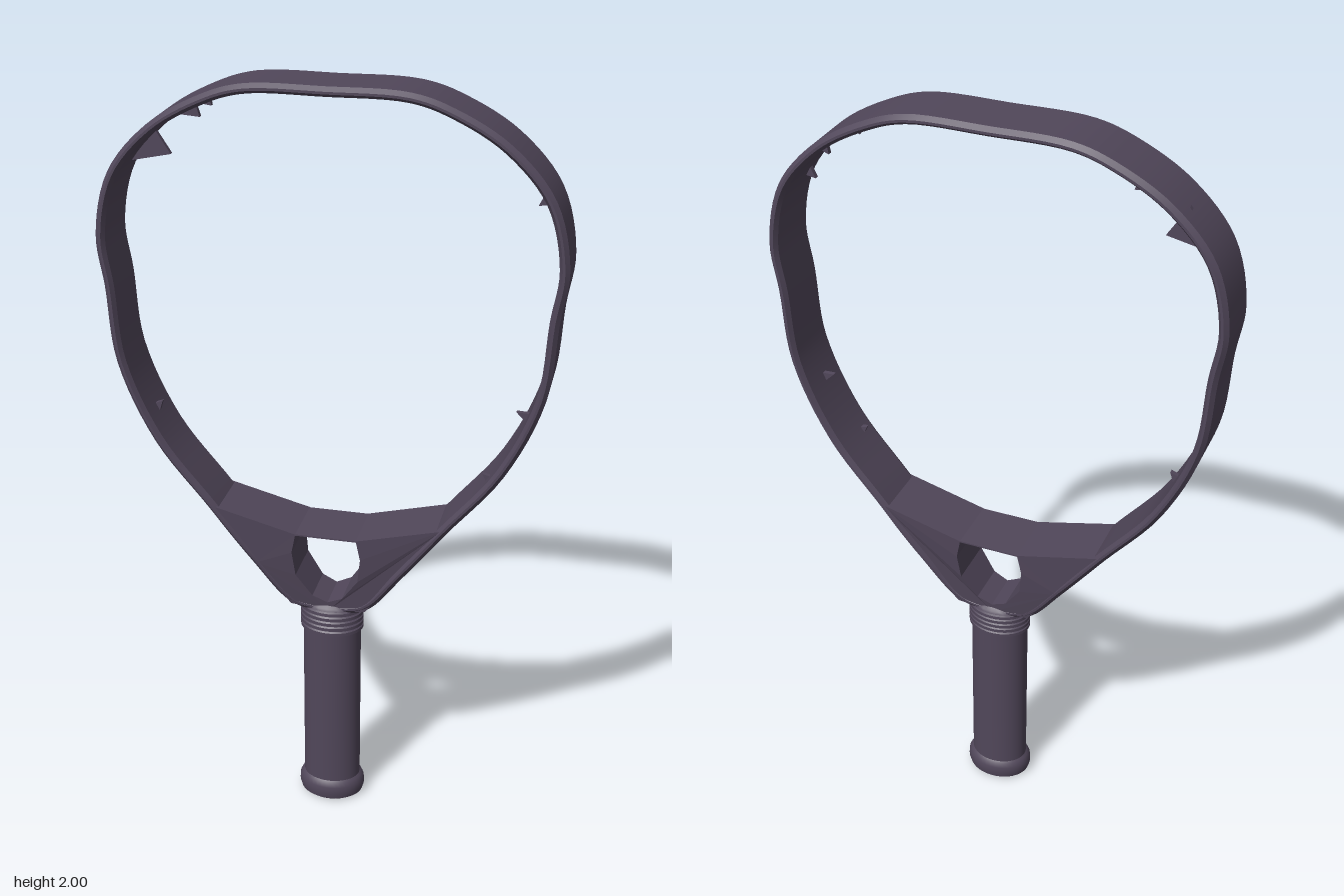
import * as THREE from 'three';
import { toCreasedNormals } from 'three/addons/utils/BufferGeometryUtils.js';

const plum = new THREE.MeshStandardMaterial({ color: 0x51475a, side: THREE.DoubleSide });
plum.name = 'dark plum';

// Half depth of the racket: full at the head, tapering through the throat
function halfDepth(y) {
  const t = THREE.MathUtils.clamp((y - 0.62) / 0.24, 0, 1);
  return 0.054 + 0.028 * Math.sin(t * Math.PI / 2);
}

function addMesh(group, name, geometry) {
  const mesh = new THREE.Mesh(geometry, plum);
  mesh.name = name;
  group.add(mesh);
  return mesh;
}

// Chamfered band swept around the head outline
function frameGeometry() {
  const half = [[0.2, 1.996], [0.3, 1.965], [0.43, 1.89], [0.535, 1.77], [0.575, 1.61],
    [0.56, 1.48], [0.54, 1.28], [0.45, 1.07], [0.31, 0.89], [0.2, 0.745], [0.115, 0.635], [0.07, 0.612]];
  const points = [[0, 2], ...half, ...half.slice().reverse().map(([x, y]) => [-x, y])]
    .map(([x, y]) => new THREE.Vector3(x, y, 0));
  const curve = new THREE.CatmullRomCurve3(points, true, 'centripetal');
  // Section: distance from the outline, then z as a share of the half depth
  const section = [[-0.024, -0.86], [-0.016, -1], [-0.01, -1], [0, -0.86],
    [0, 0.86], [-0.01, 1], [-0.016, 1], [-0.024, 0.86]];
  const steps = 150, n = section.length, positions = [], index = [];
  for (let i = 0; i < steps; i++) {
    const p = curve.getPoint(i / steps), t = curve.getTangent(i / steps);
    for (const [o, z] of section) positions.push(p.x - t.y * o, p.y + t.x * o, z * halfDepth(p.y));
    for (let j = 0; j < n; j++) {
      const k = ((i + 1) % steps) * n, a = i * n + j, b = i * n + (j + 1) % n;
      const c = k + (j + 1) % n, d = k + j;
      index.push(a, b, d, b, c, d);
    }
  }
  const geometry = new THREE.BufferGeometry();
  geometry.setAttribute('position', new THREE.Float32BufferAttribute(positions, 3));
  geometry.setIndex(index);
  return toCreasedNormals(geometry, 0.45);
}

// One solid cheek of the throat, its depth following the taper
function throatGeometry(side) {
  const outline = [[0.3, 0.902], [0.08, 0.846], [0.091, 0.79], [0.083, 0.72],
    [0.04, 0.658], [0, 0.64], [0, 0.612], [0.1, 0.622], [0.19, 0.745]];
  const shape = new THREE.Shape(outline.map(([x, y]) => new THREE.Vector2(x * side, y)));
  const geometry = new THREE.ExtrudeGeometry(shape, { depth: 2, bevelEnabled: false });
  const pos = geometry.attributes.position;
  for (let i = 0; i < pos.count; i++) {
    pos.setZ(i, (pos.getZ(i) - 1) * halfDepth(pos.getY(i)) * 0.96);
  }
  geometry.computeVertexNormals();
  return geometry;
}

// Oval turned part from [radius, height] pairs
function turned(profile) {
  const geometry = new THREE.LatheGeometry(profile.map(([r, y]) => new THREE.Vector2(r, y)), 40);
  geometry.scale(1, 1, 0.8);
  return toCreasedNormals(geometry, 0.6);
}

export function createModel() {
  const model = new THREE.Group();
  model.name = 'racketFrame';

  addMesh(model, 'headFrame', frameGeometry());

  // Throat cheeks and the thin sheet between them
  addMesh(model, 'leftThroat', throatGeometry(1));
  addMesh(model, 'rightThroat', throatGeometry(-1));
  const bridge = addMesh(model, 'throatBridge', new THREE.BoxGeometry(0.166, 0.004, 0.155));
  bridge.position.y = 0.844;

  // Handle
  addMesh(model, 'grip', turned([[0.078, 0.04], [0.078, 0.56]]));
  addMesh(model, 'buttCap', turned([[0, 0], [0.075, 0], [0.086, 0.008], [0.091, 0.025],
    [0.09, 0.045], [0.084, 0.058], [0.077, 0.064]]));

  // Ribbed collar closing the top of the grip
  const ribs = [[0.077, 0.54]];
  for (let i = 0; i < 5; i++) {
    const y = 0.54 + i * 0.015;
    ribs.push([0.085, y + 0.002], [0.085, y + 0.011], [0.081, y + 0.015]);
  }
  ribs.push([0.078, 0.622], [0.066, 0.63], [0, 0.63]);
  addMesh(model, 'collar', turned(ribs));

  // Small chips standing on the inner wall: x, y, length, width, z
  const chips = [[-0.475, 1.815, 0.115, 0.12, -0.03], [-0.36, 1.91, 0.06, 0.06, -0.03],
    [-0.3, 1.945, 0.035, 0.04, 0.02], [0.2, 1.975, 0.02, 0.03, 0.02],
    [0.36, 1.915, 0.035, 0.03, 0], [0.43, 1.865, 0.035, 0.03, -0.03], [0.51, 1.765, 0.04, 0.03, 0.03],
    [0.49, 1.21, 0.045, 0.025, 0], [0.41, 1.045, 0.035, 0.025, 0.03], [-0.46, 1.14, 0.035, 0.025, 0]];
  const chipShape = new THREE.Shape([new THREE.Vector2(-0.5, -0.15),
    new THREE.Vector2(0.5, -0.15), new THREE.Vector2(-0.2, 0.75)]);
  const chipGeometry = new THREE.ExtrudeGeometry(chipShape, { depth: 0.012, bevelEnabled: false });
  for (const [x, y, length, width, z] of chips) {
    const chip = addMesh(model, 'innerChip', chipGeometry);
    chip.position.set(x, y, z);
    chip.rotation.z = Math.atan2(1.5 - y, -x) - Math.PI / 2;
    chip.scale.set(width, length * 0.8, 1);
  }
  return model;
}
